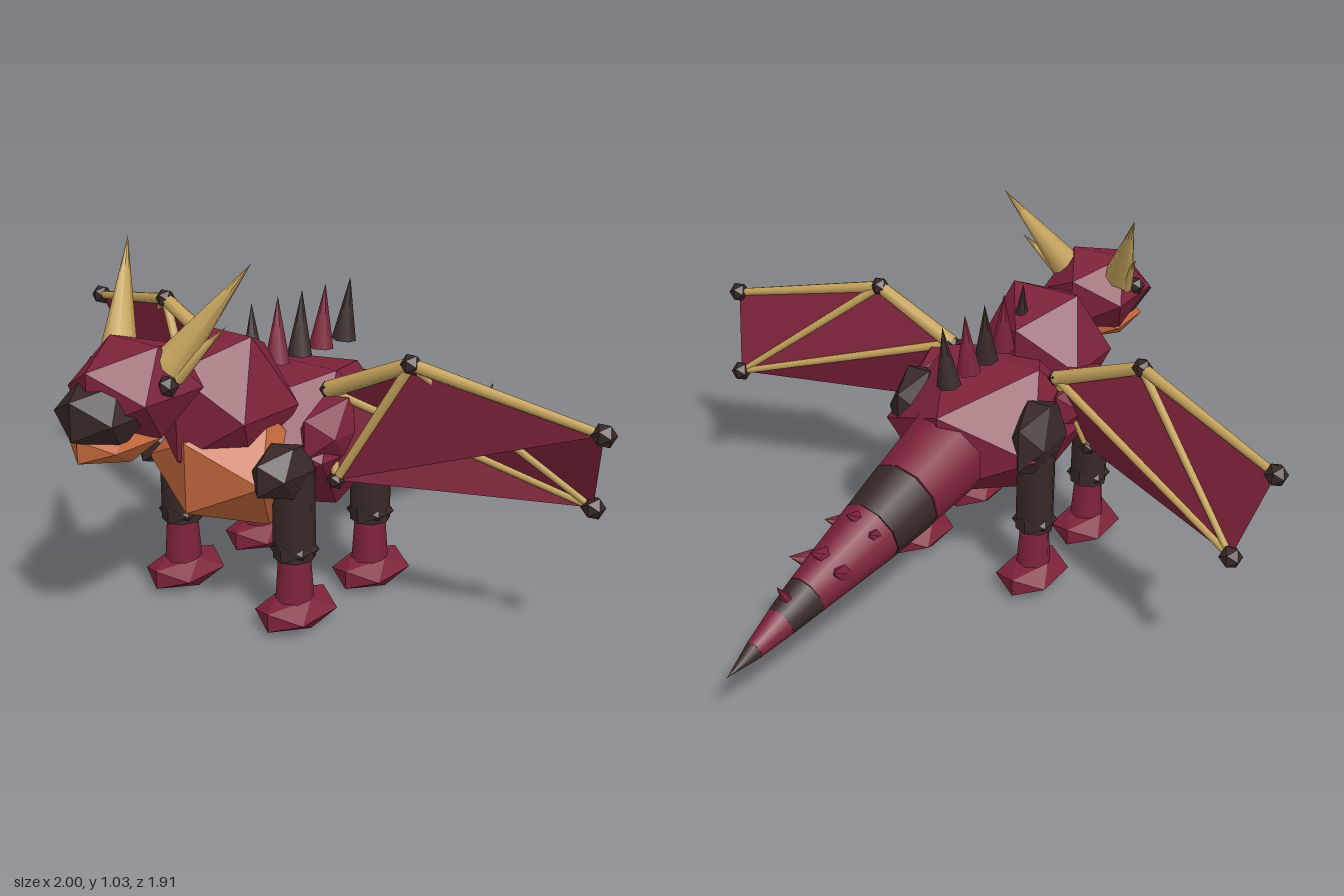
import * as THREE from 'three';

const mat = (name, color, opts = {}) => {
  const m = new THREE.MeshStandardMaterial({ color, ...opts });
  m.name = name;
  return m;
};
const V = (x, y, z) => new THREE.Vector3(x, y, z);

export function createModel() {
  const group = new THREE.Group();
  const crimson = mat('crimson', 0x7d2239, { side: THREE.DoubleSide });
  const dark = mat('dark brown', 0x382827);
  const gold = mat('gold bone', 0xc6a35c);
  const orange = mat('orange belly', 0xc0653a);

  const add = (name, geo, material, parent = group) => {
    const m = new THREE.Mesh(geo, material);
    m.name = name;
    parent.add(m);
    return m;
  };

  // Faceted lump given by its centre and half extents
  const lump = (name, material, c, h, parent = group) => {
    const k = 0.8507;
    const geo = new THREE.IcosahedronGeometry(1, 0).scale(h[0] / k, h[1] / k, h[2] / k);
    geo.computeVertexNormals();
    const m = add(name, geo, material, parent);
    m.position.set(...c);
    return m;
  };

  // Tapered rod from a to b; a zero end radius makes a spike
  const rod = (name, material, a, b, ra, rb, parent = group, sides = 8) => {
    const dir = b.clone().sub(a);
    const geo = rb > 0
      ? new THREE.CylinderGeometry(rb, ra, dir.length(), sides)
      : new THREE.ConeGeometry(ra, dir.length(), sides);
    const m = add(name, geo, material, parent);
    m.position.copy(a).add(b).multiplyScalar(0.5);
    m.quaternion.setFromUnitVectors(V(0, 1, 0), dir.normalize());
    return m;
  };

  // Trunk, neck and chest
  lump('body', crimson, [0, 0.465, 0.2], [0.26, 0.195, 0.3]);
  lump('neck', crimson, [-0.03, 0.6, 0.455], [0.18, 0.2, 0.175]);
  lump('chestPlate', orange, [-0.005, 0.435, 0.44], [0.205, 0.16, 0.19]);

  // Head
  const head = new THREE.Group();
  head.name = 'head';
  group.add(head);
  const hx = -0.058;
  lump('skull', crimson, [hx, 0.71, 0.74], [0.14, 0.12, 0.165], head);
  lump('snout', dark, [hx - 0.005, 0.67, 0.852], [0.105, 0.083, 0.105], head);
  lump('jaw', orange, [hx - 0.005, 0.588, 0.81], [0.085, 0.05, 0.13], head);
  for (const s of [-1, 1]) {
    lump('eye', dark, [hx + s * 0.13, 0.74, 0.755], [0.025, 0.025, 0.025], head);
    rod('horn', gold, V(hx + s * 0.09, 0.77, 0.71), V(hx + 0.02 + s * 0.235, 1.035, 0.56 + s * 0.018),
      0.05, 0, head);
    rod('smallHorn', gold, V(hx + s * 0.11, 0.75, 0.71), V(hx + 0.015 + s * 0.2, 0.88, 0.63),
      0.028, 0, head);
  }

  // Legs
  for (const s of [-1, 1]) {
    for (const front of [true, false]) {
      const z = front ? 0.43 : 0.095;
      const x = -0.01 + s * 0.21;
      const leg = new THREE.Group();
      leg.name = front ? 'frontLeg' : 'hindLeg';
      group.add(leg);
      if (front) lump('shoulder', dark, [x, 0.46, 0.475], [0.06, 0.07, 0.1], leg);
      else lump('haunch', dark, [x, 0.5, 0.1], [0.06, 0.11, 0.11], leg);
      rod('upperLeg', dark, V(x, 0.46, z), V(x, 0.2, z), 0.058, 0.058, leg);
      lump('knee', dark, [x, 0.225, z], [0.058, 0.04, 0.058], leg);
      rod('lowerLeg', crimson, V(x, 0.22, z), V(x, 0.05, z), 0.043, 0.055, leg);
      lump('foot', crimson, [x, 0.043, z - 0.005], [0.085, 0.043, 0.118], leg);
    }
  }

  // Tail of tapering bands: x, y, z, radius
  const tail = new THREE.Group();
  tail.name = 'tail';
  group.add(tail);
  const rings = [
    [0.012, 0.45, 0.0, 0.14], [0.018, 0.393, -0.24, 0.116], [0.028, 0.352, -0.39, 0.098],
    [0.054, 0.278, -0.65, 0.062], [0.064, 0.246, -0.75, 0.046], [0.072, 0.215, -0.85, 0.027],
    [0.082, 0.183, -0.95, 0],
  ];
  for (let i = 0; i < rings.length - 1; i++) {
    const a = rings[i], b = rings[i + 1];
    rod('tailBand', i % 2 ? dark : crimson, V(...a), V(b[0], b[1], b[2]), a[3], b[3], tail, 10);
  }
  // Barbs along the tail
  for (const [x, y, z, r] of [[0.035, 0.42, -0.4, 0.04], [0.05, 0.37, -0.54, 0.04]]) {
    for (const s of [-1, 0, 1]) {
      rod('tailBarb', crimson, V(x + s * 0.05, y - 0.03 - Math.abs(s) * 0.03, z),
        V(x + s * 0.075, y + 0.035 - Math.abs(s) * 0.04, z - 0.09), r, 0, tail, 5);
    }
  }
  rod('tailBarb', crimson, V(0.06, 0.27, -0.7), V(0.065, 0.36, -0.755), 0.025, 0, tail, 5);

  // Spikes along the back
  [0.36, 0.26, 0.165, 0.07, -0.035].forEach((z, i) => {
    rod('backSpike', i % 2 ? crimson : dark, V(0, 0.665, z), V(-0.018 + i * 0.007, 0.85, z - 0.018),
      0.036, 0, group, 6);
  });

  // Wings: root, elbow, upper tip, lower tip, lower root
  const wings = [
    ['leftWing', V(0.19, 0.63, 0.27), V(0.465, 0.755, 0.275), V(0.97, 0.652, 0.18),
      V(0.905, 0.417, 0.09), V(0.255, 0.4, 0.32)],
    ['rightWing', V(-0.2, 0.63, 0.235), V(-0.49, 0.755, 0.2), V(-0.97, 0.652, 0.02),
      V(-0.9, 0.417, -0.055), V(-0.285, 0.4, 0.29)],
  ];
  for (const [name, root, elbow, tip, low, base] of wings) {
    const wing = new THREE.Group();
    wing.name = name;
    group.add(wing);
    rod('armBone', gold, root, elbow, 0.024, 0.02, wing);
    rod('fingerBone', gold, elbow, tip, 0.018, 0.012, wing);
    rod('fingerBone', gold, elbow, low, 0.014, 0.01, wing);
    rod('fingerBone', gold, root, low, 0.014, 0.01, wing);
    rod('braceBone', gold, elbow, base, 0.014, 0.012, wing);
    rod('braceBone', gold, root, base, 0.014, 0.012, wing);
    for (const [p, r] of [[elbow, 0.026], [tip, 0.028], [low, 0.028], [root, 0.022], [base, 0.022]]) {
      lump('joint', dark, p.toArray(), [r, r, r], wing);
    }
    // Membrane folds
    const tris = [elbow, tip, low, root, elbow, low, root, low, base, elbow, tip, base];
    const geo = new THREE.BufferGeometry().setFromPoints(tris);
    geo.computeVertexNormals();
    add('membrane', geo, crimson, wing);
    // Muscle at the wing root
    const s = Math.sign(root.x);
    lump('wingMuscle', crimson, [s * 0.22, 0.53, s > 0 ? 0.27 : 0.34], [0.06, 0.09, 0.14], wing);
  }
  return group;
}
